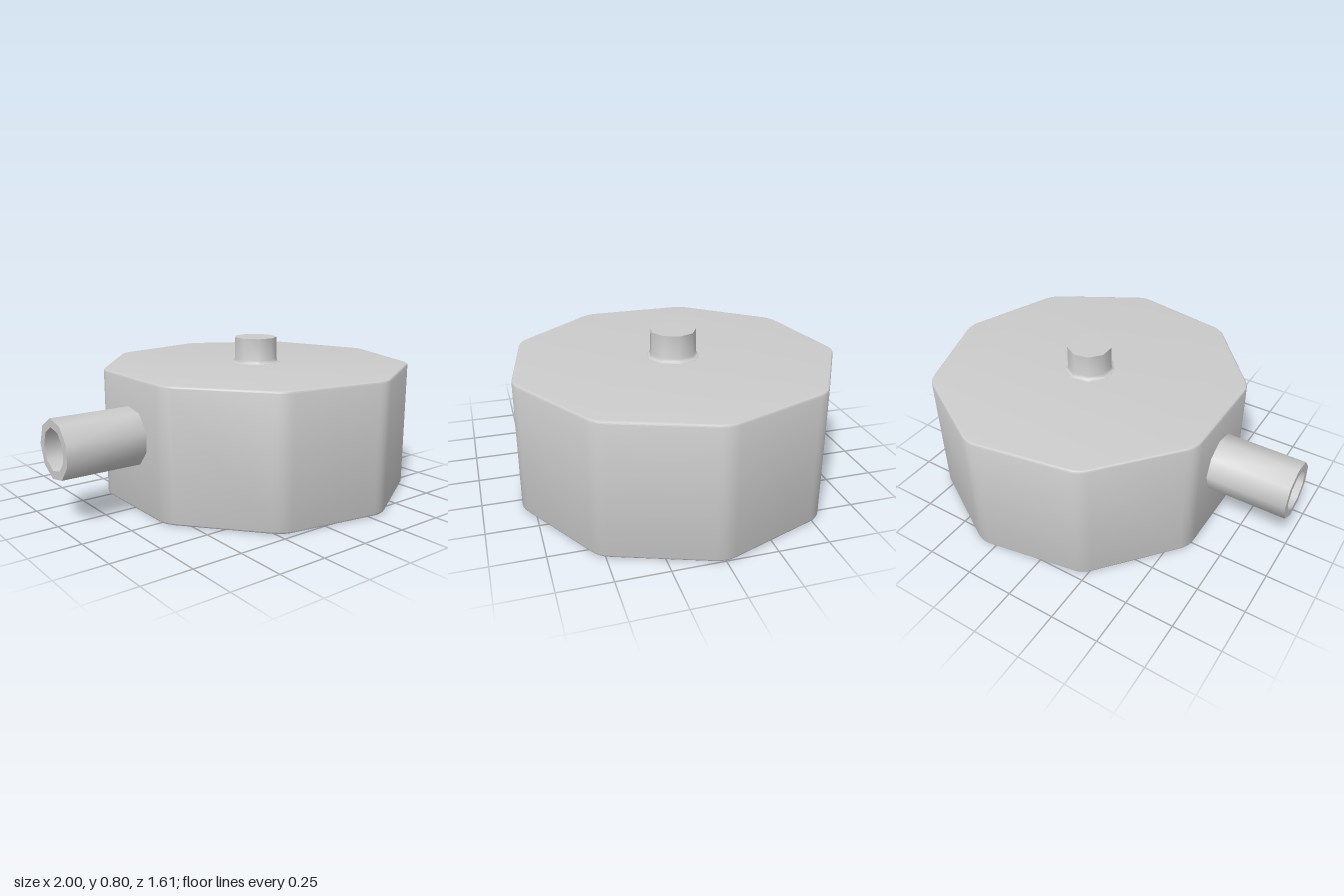
import * as THREE from 'three';
import { toCreasedNormals } from 'three/addons/utils/BufferGeometryUtils.js';

const SIDES = 9;
const CENTER_X = 0.184;

// Regular polygon outline with softened corners, first corner at +x
function roundedPolygon(radius, cut) {
  const corner = (i) => {
    const a = (i / SIDES) * Math.PI * 2;
    return new THREE.Vector2(Math.cos(a) * radius, Math.sin(a) * radius);
  };
  const towards = (a, b) => b.clone().sub(a).setLength(cut).add(a);
  const shape = new THREE.Shape();
  for (let i = 0; i < SIDES; i++) {
    const c = corner(i);
    const p = towards(c, corner(i - 1));
    const q = towards(c, corner(i + 1));
    if (i === 0) shape.moveTo(p.x, p.y);
    else shape.lineTo(p.x, p.y);
    shape.quadraticCurveTo(c.x, c.y, q.x, q.y);
  }
  shape.closePath();
  return shape;
}

// Nine-sided turned part, smooth around and sharp at the rims
function turned(profile, phiStart) {
  const points = profile.map(([r, y]) => new THREE.Vector2(r, y));
  return toCreasedNormals(new THREE.LatheGeometry(points, SIDES, phiStart), 0.8);
}

export function createModel() {
  const group = new THREE.Group();
  const material = new THREE.MeshStandardMaterial({ color: 0xcccccc });
  const add = (name, geometry) => {
    const mesh = new THREE.Mesh(geometry, material);
    mesh.name = name;
    group.add(mesh);
    return mesh;
  };

  // Nine-sided body with a fine rounded edge at top and bottom
  const bevel = 0.01;
  const height = 0.665;
  const bodyGeometry = new THREE.ExtrudeGeometry(roundedPolygon(0.826, 0.05), {
    depth: height - 2 * bevel,
    bevelThickness: bevel,
    bevelSize: bevel,
    bevelOffset: -bevel,
    bevelSegments: 3,
    curveSegments: 4,
  });
  bodyGeometry.translate(0, 0, bevel).rotateX(-Math.PI / 2);
  const body = add('body', toCreasedNormals(bodyGeometry, 0.6));
  body.position.x = CENTER_X;

  // Short stem on top, flared into the body
  const stem = add('stem', turned([
    [0.136, 0.66], [0.134, 0.666], [0.122, 0.671], [0.116, 0.685],
    [0.115, 0.8], [0, 0.8],
  ], Math.PI / 2));
  stem.position.x = CENTER_X;

  // Hollow side pipe, its axis along -x
  const pipe = add('sidePipe', turned([
    [0.147, 0.55], [0.147, 1], [0.105, 1], [0.105, 0.6], [0, 0.6],
  ], Math.PI));
  pipe.rotation.z = Math.PI / 2;
  pipe.position.y = 0.373;

  return group;
}
